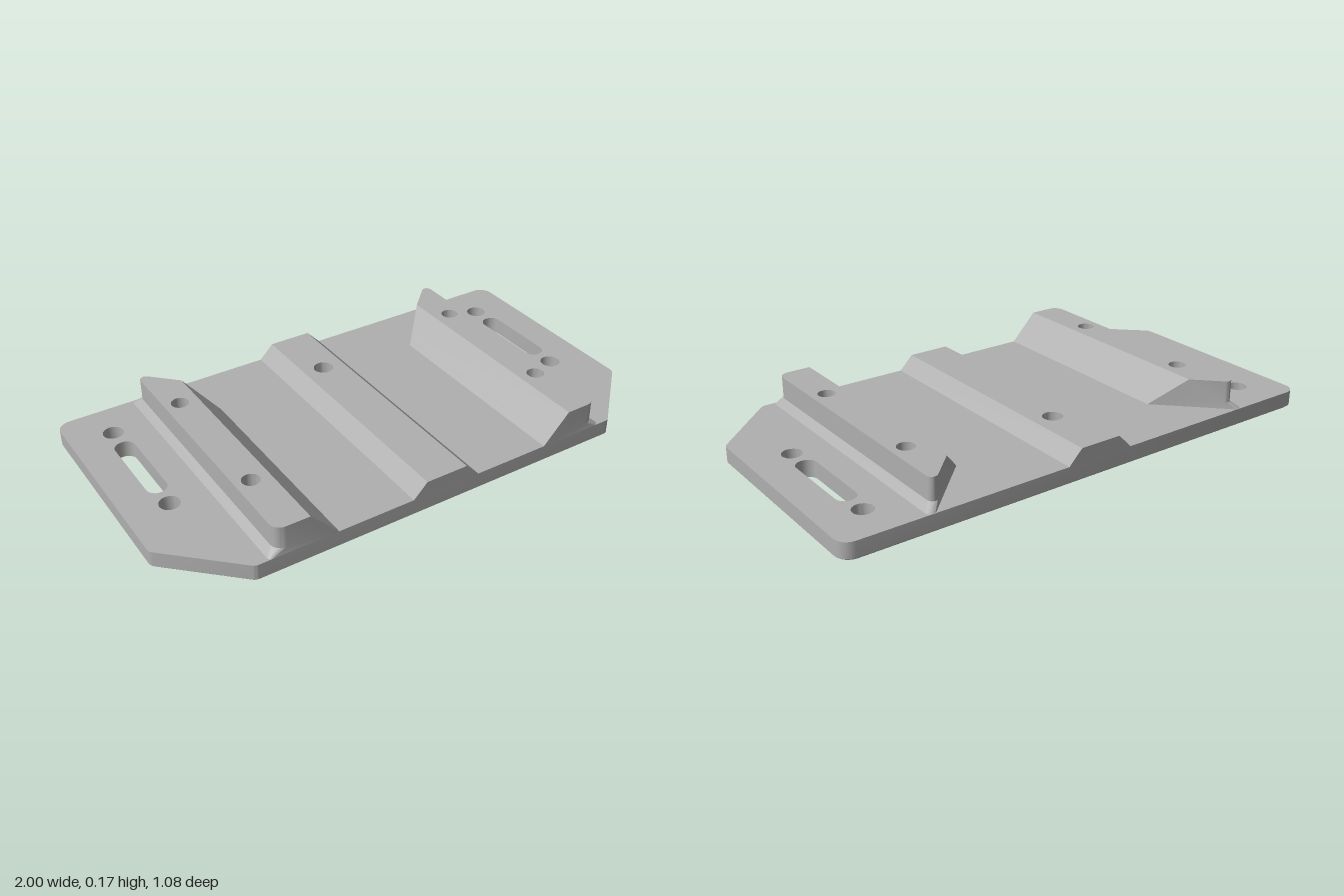
import * as THREE from 'three';
import { toCreasedNormals } from 'three/addons/utils/BufferGeometryUtils.js';

const DEPTH = 0.54;      // half depth of the plate
const PLATE_TOP = 0.065;
const RIDGE_TOP = 0.12;
const RAIL_TOP = 0.175;
const POCKET = 0.04;     // depth of the nut pockets

// Outline in (x, z) from corners [x, z, radius], counter-clockwise from above
function outline(corners, steps = 6) {
  const points = [];
  corners.forEach(([x, z, r = 0], i) => {
    const corner = new THREE.Vector2(x, z);
    if (!r) return points.push(corner);
    const toward = ([px, pz]) => new THREE.Vector2(px, pz).sub(corner).normalize();
    const u = toward(corners.at(i - 1));
    const v = toward(corners[(i + 1) % corners.length]);
    const half = Math.acos(u.dot(v)) / 2;
    const centre = corner.clone().addScaledVector(u.clone().add(v).normalize(), r / Math.sin(half));
    const reach = r / Math.tan(half);
    const from = corner.clone().addScaledVector(u, reach).sub(centre).angle();
    const to = corner.clone().addScaledVector(v, reach).sub(centre).angle();
    const sweep = Math.atan2(Math.sin(to - from), Math.cos(to - from));
    for (let s = 0; s <= steps; s++) {
      const a = from + sweep * s / steps;
      points.push(new THREE.Vector2(centre.x + r * Math.cos(a), centre.y + r * Math.sin(a)));
    }
  });
  return points;
}

// Regular polygon outline, used for round holes and hexagonal pockets
function ring(x, z, r, n = 28) {
  return Array.from({ length: n }, (_, i) => {
    const a = -i / n * Math.PI * 2;
    return new THREE.Vector2(x + r * Math.cos(a), z + r * Math.sin(a));
  });
}

// Collects walls between outlines and flat caps with holes
class Solid {
  constructor() { this.positions = []; }

  triangle(a, b, c) { this.positions.push(...a, ...b, ...c); }

  wall(low, y0, high, y1) {
    low.forEach((p, i) => {
      const j = (i + 1) % low.length;
      const a = [p.x, y0, p.y], b = [low[j].x, y0, low[j].y];
      const c = [high[j].x, y1, high[j].y], d = [high[i].x, y1, high[i].y];
      this.triangle(a, b, c);
      this.triangle(a, c, d);
    });
  }

  bore(points, y0, y1) {
    const inward = [...points].reverse();
    this.wall(inward, y0, inward, y1);
  }

  cap(outer, holes, y, up = true) {
    const all = [outer, ...holes].flat();
    for (const [i, j, k] of THREE.ShapeUtils.triangulateShape(outer, holes)) {
      const [a, b, c] = [all[i], all[j], all[k]];
      const facesUp = (b.y - a.y) * (c.x - a.x) - (b.x - a.x) * (c.y - a.y) > 0;
      const [p, q, r] = [a, b, c].map((v) => [v.x, y, v.y]);
      if (facesUp === up) this.triangle(p, q, r);
      else this.triangle(p, r, q);
    }
  }

  mesh(name, material) {
    const geometry = new THREE.BufferGeometry();
    geometry.setAttribute('position', new THREE.Float32BufferAttribute(this.positions, 3));
    const mesh = new THREE.Mesh(toCreasedNormals(geometry, 0.5), material);
    mesh.name = name;
    return mesh;
  }
}

// Plate outline, drawn in by an inset for the bevelled edges
function plateOutline(inset) {
  const x = 1 - inset, z = DEPTH - inset;
  const cx = 0.745 - inset * 0.4, cz = 0.295 - inset * 0.4;
  return outline([[-cx, z, 0.03], [cx, z, 0.03], [x, cz, 0.03],
    [x, -z, 0.05], [-x, -z, 0.05], [-x, cz, 0.03]]);
}

function buildPlate(material) {
  const plate = new Solid();
  const full = plateOutline(0), inset = plateOutline(0.006);
  plate.wall(inset, 0, full, 0.006);
  plate.wall(full, 0.006, full, PLATE_TOP);
  const lowHoles = [], highHoles = [];

  // Slots and round holes in the side flanges
  for (const side of [-1, 1]) {
    const x = side * 0.838, w = 0.038;
    const slot = outline([[x - w, 0.035, w - 0.001], [x + w, 0.035, w - 0.001],
      [x + w, -0.31, w - 0.001], [x - w, -0.31, w - 0.001]]).reverse();
    for (const hole of [slot, ring(x, -0.383, 0.038), ring(x, 0.105, 0.038)]) {
      plate.bore([...hole].reverse(), 0, PLATE_TOP);
      lowHoles.push(hole);
      highHoles.push(hole);
    }
  }

  // Screw holes with hexagonal nut pockets underneath
  const screws = [[0, -0.275, 0.038, 0.052]];
  for (const x of [-0.61, 0.61]) {
    for (const z of [-0.275, 0.27]) screws.push([x, z, 0.033, 0.045]);
  }
  for (const [x, z, r, nut] of screws) {
    const hex = ring(x, z, nut, 6), round = ring(x, z, r);
    plate.bore([...hex].reverse(), 0, POCKET);
    plate.cap(hex, [round], POCKET, false);
    plate.bore([...round].reverse(), POCKET, PLATE_TOP);
    lowHoles.push(hex);
    highHoles.push(round);
  }
  plate.cap(inset, lowHoles, 0, false);
  plate.cap(full, highHoles, PLATE_TOP);
  return plate.mesh('basePlate', material);
}

function buildRidge(material) {
  const ridge = new Solid();
  const rect = (x) => outline([[-x, DEPTH], [x, DEPTH], [x, -DEPTH], [-x, -DEPTH]]);
  const hole = ring(0, -0.275, 0.038);
  ridge.wall(rect(0.137), PLATE_TOP, rect(0.083), RIDGE_TOP);
  ridge.cap(rect(0.083), [hole], RIDGE_TOP);
  ridge.bore([...hole].reverse(), PLATE_TOP, RIDGE_TOP);
  return ridge.mesh('centreRidge', material);
}

function buildRail(material) {
  const rail = new Solid();
  // Sloped inner side, upright outer side and a diagonal back end
  const section = (inner, outer, r) => outline([[inner, DEPTH], [outer, DEPTH, r],
    [outer, 0.13 - outer, 0.02], [inner, 0.13 - inner]]);
  const foot = section(0.435, 0.697, 0.016);
  const ledge = section(0.459, 0.67, 0.04);
  const top = section(0.54, 0.67, 0.04);
  rail.wall(foot, PLATE_TOP, ledge, 0.09);
  rail.wall(ledge, 0.09, top, RAIL_TOP);
  const holes = [-0.275, 0.27].map((z) => ring(0.61, z, 0.033));
  rail.cap(top, holes, RAIL_TOP);
  for (const hole of holes) rail.bore([...hole].reverse(), PLATE_TOP, RAIL_TOP);
  return rail.mesh('leftRail', material);
}

export function createModel() {
  const grey = new THREE.MeshStandardMaterial({ color: 0xb0b0b0, side: THREE.DoubleSide });
  grey.name = 'grey';
  const model = new THREE.Group();
  model.name = 'mountingPlate';
  const leftRail = buildRail(grey);
  const rightRail = leftRail.clone();
  rightRail.name = 'rightRail';
  rightRail.scale.x = -1;
  model.add(buildPlate(grey), buildRidge(grey), leftRail, rightRail);
  return model;
}
